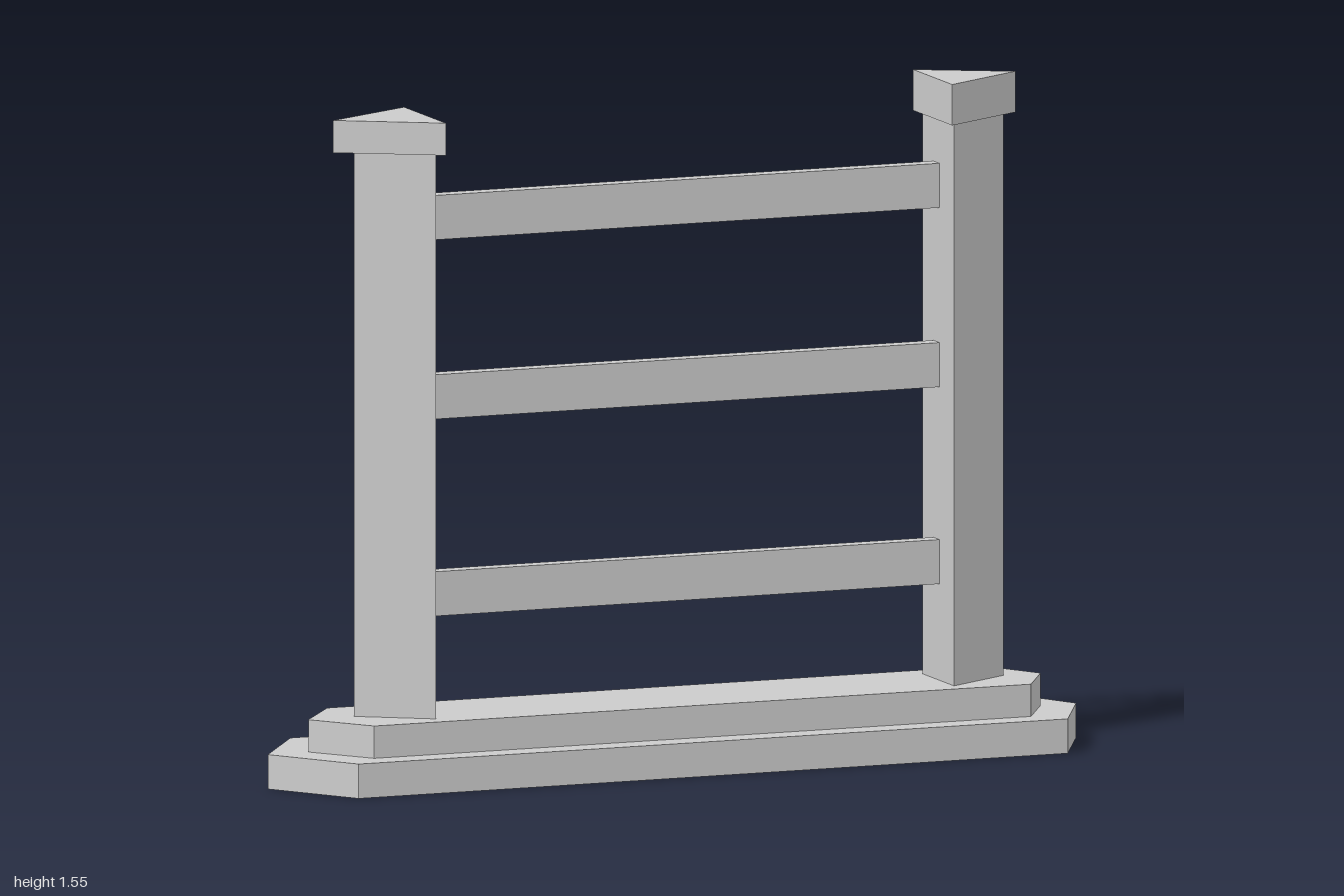
import * as THREE from 'three';

const material = new THREE.MeshStandardMaterial({ color: 0xcccccc, flatShading: true });
const thin = new THREE.MeshStandardMaterial({ color: 0xcccccc, flatShading: true, side: THREE.DoubleSide });

// Upright prism from an [x, z] outline between two heights
function prism(name, outline, y0, y1) {
  const shape = new THREE.Shape(outline.map(([x, z]) => new THREE.Vector2(x, -z)));
  const geometry = new THREE.ExtrudeGeometry(shape, { depth: y1 - y0, bevelEnabled: false });
  geometry.rotateX(-Math.PI / 2).translate(0, y0, 0);
  const mesh = new THREE.Mesh(geometry, material);
  mesh.name = name;
  return mesh;
}

// Plinth slab with pointed ends
function slab(name, [tipL, cornerL, cornerR, tipR], halfDepth, y0, y1) {
  return prism(name, [
    [tipL, 0], [cornerL, halfDepth], [cornerR, halfDepth],
    [tipR, 0], [cornerR, -halfDepth], [cornerL, -halfDepth],
  ], y0, y1);
}

// Hollow triangular cap: a top and two walls, open below and along the back diagonal
function cap(name, [tip, back, front], y0, y1) {
  const positions = [];
  const add = (...points) => points.forEach((p) => positions.push(...p));
  const at = ([x, z], y) => [x, y, z];
  const ring = tip[0] > 0 ? [tip, back, front] : [tip, front, back];
  add(...ring.map((p) => at(p, y1)));
  for (const [a, b] of [[back, front], [front, tip]]) {
    const [p, q] = tip[0] > 0 ? [a, b] : [b, a];
    add(at(p, y0), at(q, y0), at(q, y1), at(p, y0), at(q, y1), at(p, y1));
  }
  const geometry = new THREE.BufferGeometry();
  geometry.setAttribute('position', new THREE.Float32BufferAttribute(positions, 3));
  geometry.computeVertexNormals();
  const mesh = new THREE.Mesh(geometry, thin);
  mesh.name = name;
  return mesh;
}

export function createModel() {
  const group = new THREE.Group();
  group.name = 'hurdle';

  // Two-step plinth
  group.add(slab('lowerBase', [-1, -0.86, 0.895, 1], 0.207, 0, 0.08));
  group.add(slab('upperBase', [-0.9, -0.795, 0.83, 0.912], 0.143, 0.08, 0.155));

  // Triangular posts, points outward
  group.add(prism('rightPost', [[-0.785, -0.005], [-0.625, 0.1], [-0.625, -0.1]], 0.155, 1.52));
  group.add(prism('leftPost', [[0.82, 0], [0.657, -0.092], [0.657, 0.1]], 0.155, 1.525));

  // Post caps
  group.add(cap('rightCap', [[-0.835, -0.01], [-0.61, -0.13], [-0.61, 0.125]], 1.465, 1.54));
  group.add(cap('leftCap', [[0.85, 0], [0.642, -0.112], [0.642, 0.126]], 1.46, 1.555));

  // Cross rails
  for (const y of [0.43, 0.887, 1.303]) {
    const rail = new THREE.Mesh(new THREE.BoxGeometry(1.285, 0.103, 0.037), material);
    rail.position.set(0.0165, y, -0.007);
    rail.name = 'rail';
    group.add(rail);
  }
  return group;
}
